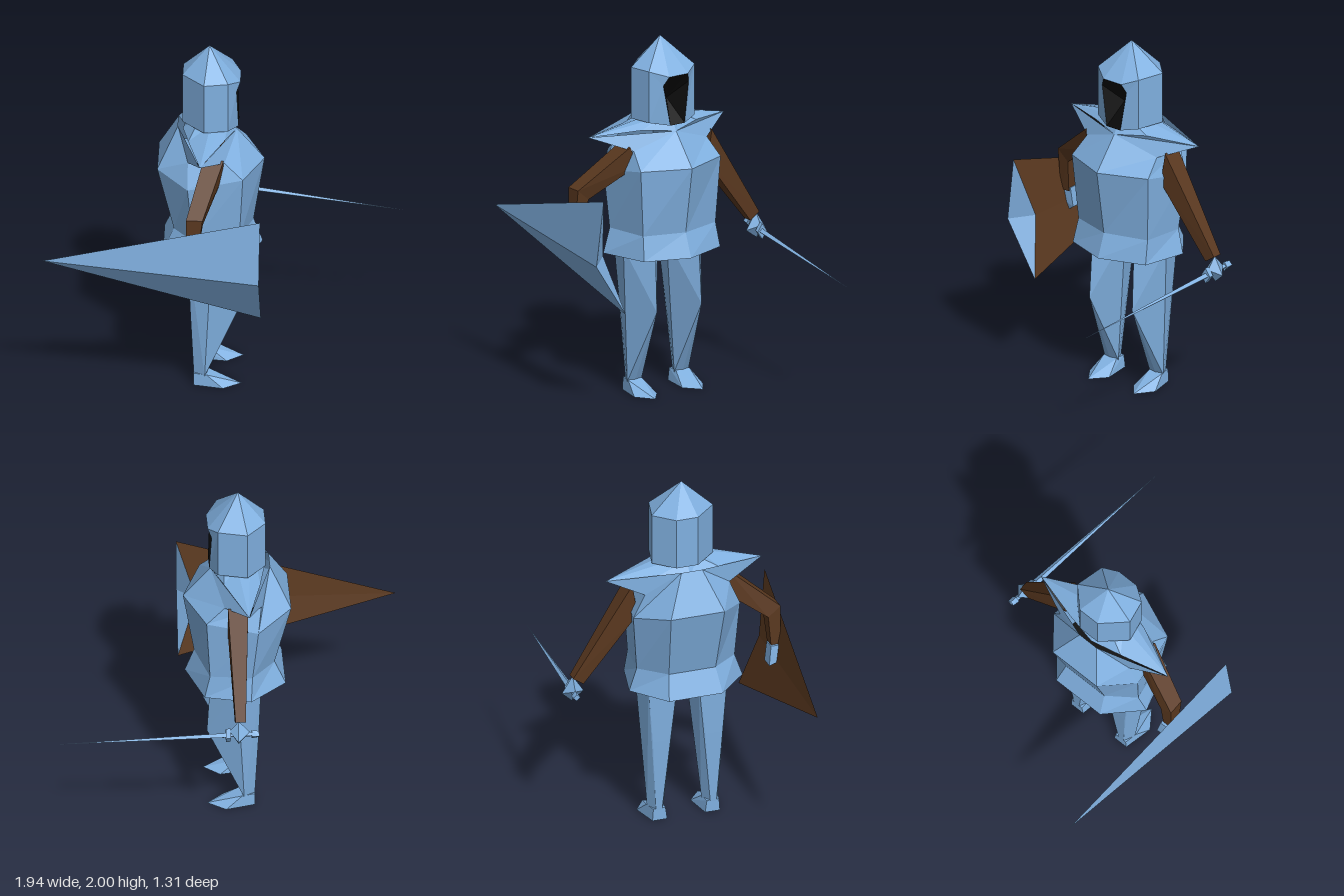
import * as THREE from 'three';
import { ConvexGeometry } from 'three/addons/geometries/ConvexGeometry.js';

const mat = (color) => new THREE.MeshStandardMaterial({ color, flatShading: true, side: THREE.DoubleSide });
const steel = mat(0x80b0e0), wood = mat(0x5a381f), dark = mat(0x080808);

function add(parent, name, geometry, material) {
  const m = new THREE.Mesh(geometry, material);
  m.name = name;
  parent.add(m);
  return m;
}

// Flat facets from corner points; each facet is cut into a fan of triangles.
function facets(faces) {
  const out = [];
  for (const f of faces)
    for (let i = 1; i < f.length - 1; i++) out.push(...f[0], ...f[i], ...f[i + 1]);
  const g = new THREE.BufferGeometry();
  g.setAttribute('position', new THREE.Float32BufferAttribute(out, 3));
  g.computeVertexNormals();
  return g;
}

// Quads between successive rings, listed from bottom to top.
function loft(rings, closed = true) {
  const faces = [];
  for (let r = 0; r < rings.length - 1; r++) {
    const a = rings[r], b = rings[r + 1], n = a.length;
    for (let i = 0; i < (closed ? n : n - 1); i++) {
      const j = (i + 1) % n;
      faces.push([a[i], a[j], b[j], b[i]]);
    }
  }
  return faces;
}

const level = (y, xz) => xz.map(([x, z]) => [x, y, z]);
const hull = (pts) => new ConvexGeometry(pts.map((p) => new THREE.Vector3(...p)));

// Four-sided section: centre, half width in x, half-thickness vector in y and z.
const section = ([x, y, z], w, ty, tz) => [
  [x - w, y - ty, z - tz], [x + w, y - ty, z - tz], [x + w, y + ty, z + tz], [x - w, y + ty, z + tz],
];

function buildHelmet(parent) {
  const g = new THREE.Group();
  g.name = 'helmet';
  parent.add(g);
  const plan = [[0.03, -0.125], [-0.13, -0.165], [-0.235, -0.06], [-0.235, 0.065], [-0.115, 0.195], [0.015, 0.17]];
  const low = level(1.55, plan), high = level(1.84, plan), top = [-0.09, 2, 0.02];
  const brow = [[0.08, 1.81, -0.045], [0.08, 1.81, 0.08]];
  const temple = [[0.06, 1.76, -0.065], [0.06, 1.76, 0.105]];
  const chin = [[0.07, 1.53, -0.03], [0.07, 1.53, 0.065]];
  const faces = loft([low, high], false);
  for (let i = 0; i < 5; i++) faces.push([high[i], high[i + 1], top]);
  faces.push([high[5], brow[1], top], [brow[1], brow[0], top], [brow[0], high[0], top]);
  faces.push([low[5], chin[1], temple[1], high[5]], [high[5], temple[1], brow[1]]);
  faces.push([chin[0], low[0], high[0], temple[0]], [temple[0], high[0], brow[0]]);
  add(g, 'helmetShell', facets(faces), steel);
  // Recessed dark opening and dark underside
  const rim = [chin[1], chin[0], temple[0], brow[0], brow[1], temple[1]];
  const hollow = rim.map((p, i) => [p, rim[(i + 1) % 6], [-0.03, 1.66, 0.02]]);
  add(g, 'faceOpening', facets([...hollow, [...low].reverse()]), dark);
}

function buildTorso(parent) {
  const g = new THREE.Group();
  g.name = 'torso';
  parent.add(g);
  const hem = level(0.8, [[0.2, 0.02], [0.11, -0.24], [-0.14, -0.3], [-0.34, -0.14], [-0.34, 0.17], [-0.16, 0.35], [0.11, 0.27]]);
  const waist = level(0.935, [[0.15, 0.02], [0.08, -0.23], [-0.15, -0.26], [-0.28, -0.12], [-0.28, 0.15], [-0.17, 0.3], [0.08, 0.255]]);
  const chest = level(1.31, [[0.21, 0.02], [0.1, -0.25], [-0.18, -0.29], [-0.37, -0.14], [-0.37, 0.17], [-0.2, 0.32], [0.1, 0.285]]);
  chest[2][1] = chest[5][1] = 1.26;
  const shoulder = [[0.06, 1.49, 0.02], [0, 1.4, -0.23], [-0.2, 1.4, -0.23], [-0.26, 1.53, -0.04],
    [-0.26, 1.53, 0.08], [-0.2, 1.4, 0.26], [0, 1.4, 0.26]];
  add(g, 'breastplate', facets(loft([waist, chest, shoulder])), steel);
  add(g, 'skirt', facets(loft([hem, waist])), steel);
  add(g, 'skirtInside', facets([[...waist].reverse().map(([x, y, z]) => [x, y - 0.01, z])]), dark);

  // Pointed collar with a wing over each shoulder
  const right = [-0.12, 1.48, -0.43], left = [-0.127, 1.485, 0.475];
  const [f, fr, br, kr, kl, bl, fl] = shoulder;
  const outer = [f, [0, 1.51, -0.16], right, [-0.2, 1.5, -0.16], [-0.235, 1.485, 0.02], [-0.2, 1.5, 0.2], left, [0, 1.51, 0.2]];
  const neck = outer.map((_, i) => {
    const a = (i * Math.PI) / 4;
    return [-0.08 + 0.1 * Math.cos(a), 1.56, 0.02 - 0.1 * Math.sin(a)];
  });
  add(g, 'collar', facets([...loft([outer, neck]),
    [f, fr, right], [right, outer[1], f], [br, kr, right], [f, left, fl], [bl, left, kl]]), steel);
  add(g, 'wingUnderside', facets([[fr, br, right], [bl, fl, left]]), dark);
}

function buildLegs(parent) {
  for (const [side, s] of [['left', 1], ['right', -1]]) {
    const g = new THREE.Group();
    g.name = side + 'Leg';
    g.position.z = 0.02;
    parent.add(g);
    // Plan of a leg at one height: front ridge, both sides, flat back
    const plan = (y, back, mid, front, out, inn, c) => [
      [front, y, s * c], [mid, y, s * out], [mid, y, s * inn],
      [back, y, s * (out - 0.03)], [back, y, s * (inn + 0.03)],
    ];
    add(g, 'shin', hull([
      ...plan(0.84, -0.2, -0.07, 0.07, 0.26, 0.03, 0.145),
      ...plan(0.49, -0.19, -0.09, 0.09, 0.23, 0.075, 0.15),
      ...plan(0.06, -0.17, -0.11, -0.1, 0.205, 0.11, 0.16),
    ]), steel);
    add(g, 'foot', hull([
      [-0.17, 0.07, s * 0.19], [-0.17, 0.07, s * 0.12], [-0.1, 0.07, s * 0.205], [-0.1, 0.07, s * 0.115],
      [-0.17, 0, s * 0.195], [-0.17, 0, s * 0.11], [-0.01, 0, s * 0.23], [0, 0, s * 0.085], [0.09, 0, s * 0.16],
      [-0.02, 0.035, s * 0.16],
    ]), steel);
  }
}

function buildArms(parent) {
  // Sword arm hangs out straight; shield arm bends at the elbow
  add(parent, 'rightArm', hull([
    ...section([-0.07, 1.34, -0.26], 0.055, 0.09, -0.015),
    ...section([-0.06, 0.88, -0.575], 0.028, 0.02, -0.03),
  ]), wood);
  const elbow = section([-0.155, 1.17, 0.52], 0.045, 0.03, 0.035);
  add(parent, 'leftUpperArm', hull([...section([-0.06, 1.37, 0.255], 0.055, 0.055, 0.025), ...elbow]), wood);
  add(parent, 'leftForearm', hull([...elbow, ...section([-0.17, 0.95, 0.53], 0.03, 0, 0.028)]), wood);
  add(parent, 'leftHand', hull([
    ...section([-0.18, 0.97, 0.525], 0.035, 0, 0.03),
    ...section([-0.19, 0.87, 0.51], 0.04, 0.01, 0.03), [-0.16, 0.83, 0.52],
  ]), steel);
  add(parent, 'rightHand', hull([
    [-0.05, 0.9, -0.595], [-0.11, 0.83, -0.6], [0, 0.83, -0.59], [-0.045, 0.8, -0.655],
    [-0.05, 0.8, -0.53], [-0.05, 0.75, -0.6],
  ]), steel);
}

function buildSword(parent) {
  const g = new THREE.Group();
  g.name = 'sword';
  parent.add(g);
  const diamond = (x, y, z, h, w) => [[x, y + h, z], [x, y - h, z], [x, y, z + w], [x, y, z - w]];
  add(g, 'blade', hull([...diamond(0, 0.805, -0.59, 0.016, 0.02), [0.96, 0.72, -0.495]]), steel);
  add(g, 'guard', hull([...diamond(0.02, 0.803, -0.588, 0.045, 0.03), ...diamond(-0.005, 0.805, -0.59, 0.045, 0.03)]), steel);
  add(g, 'grip', hull([...diamond(-0.12, 0.817, -0.605, 0.014, 0.014), ...diamond(0, 0.805, -0.59, 0.014, 0.014)]), steel);
  add(g, 'pommel', hull([...diamond(-0.16, 0.82, -0.61, 0.02, 0.02), ...diamond(-0.12, 0.817, -0.605, 0.028, 0.022)]), steel);
}

function buildShield(parent) {
  const g = new THREE.Group();
  g.name = 'shield';
  parent.add(g);
  const tip = [-0.985, 0.9, 0.485], ridge = [0.2, 0.86, 0.655];
  const top = [0.205, 1.225, 0.61], bottom = [0.205, 0.555, 0.46], notch = [0.1, 0.88, 0.54];
  add(g, 'shieldFace', facets([[tip, ridge, top], [tip, bottom, ridge], [ridge, notch, top], [ridge, bottom, notch]]), steel);
  add(g, 'shieldBack', facets([[tip, top, notch], [tip, notch, bottom]]), wood);
}

export function createModel() {
  const model = new THREE.Group();
  model.name = 'knight';
  for (const build of [buildHelmet, buildTorso, buildLegs, buildArms, buildSword, buildShield]) build(model);
  return model;
}
